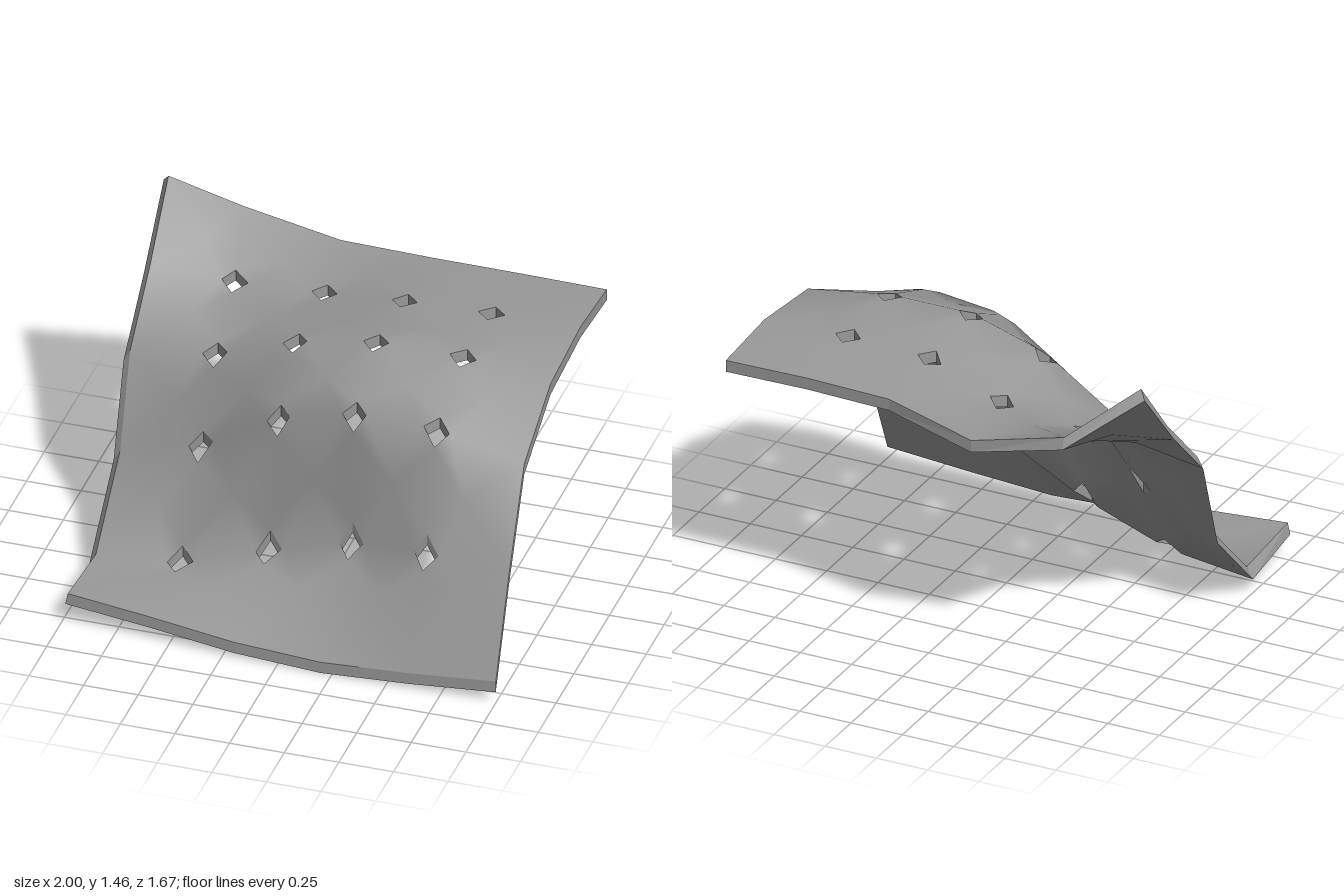
import * as THREE from 'three';

// Upper surface of the sheet: rows run from the back (top) to the front (bottom), columns along x
const ROWS = [
  [[-0.97, 1.455, -0.62], [-0.69, 1.24, -0.81], [-0.25, 1.135, -0.835], [0.2, 1.19, -0.74], [0.6, 1.195, -0.73], [1, 1.19, -0.73]],
  [[-0.97, 1.15, -0.36], [-0.61, 1.09, -0.44], [-0.19, 1.12, -0.43], [0.2, 1.21, -0.34], [0.6, 1.225, -0.34], [1, 1.22, -0.36]],
  [[-0.97, 0.88, -0.08], [-0.57, 0.96, -0.05], [-0.18, 1.15, 0.03], [0.2, 1.245, 0.06], [0.6, 1.245, 0.06], [1, 1.18, 0.06]],
  [[-0.97, 0.45, 0.06], [-0.57, 0.61, 0.15], [-0.17, 0.92, 0.29], [0.21, 1.08, 0.4], [0.6, 1.1, 0.44], [1, 0.99, 0.43]],
  [[-0.97, 0.12, 0.4], [-0.58, 0.16, 0.42], [-0.17, 0.31, 0.42], [0.23, 0.47, 0.48], [0.61, 0.57, 0.62], [1, 0.56, 0.64]],
  [[-0.97, 0.155, 0.795], [-0.6, 0.12, 0.81], [-0.2, 0.077, 0.83], [0.2, 0.055, 0.835], [0.6, 0.078, 0.835], [1, 0.11, 0.83]],
];
const N = 5;            // cells per side
const HOLE = 0.15;      // hole reach along each grid edge
const THICK = 0.055;

export function createModel() {
  const top = [], bottom = [], ids = new Map();

  // The underside hangs below the upper side and leans outward at the left and back-left
  const under = (i, j) => new THREE.Vector3(
    i === 0 ? (j < N ? -0.03 : -0.012) : 0,
    i === 0 && j === 0 ? -0.04 : -THICK,
    j === 0 ? -0.025 * Math.max(0, 1 - i * 0.4) : 0);
  const upper = (i, j) => new THREE.Vector3(...ROWS[j][i]);
  const lower = (i, j) => upper(i, j).add(under(i, j));
  const inner = ([i, j]) => i > 0 && i < N && j > 0 && j < N;

  // Shared point at a grid corner, or part of the way to a neighbour
  function point(c, to = c) {
    const key = `${c}|${to}`;
    if (!ids.has(key)) {
      ids.set(key, top.length);
      top.push(upper(...c).lerp(upper(...to), HOLE));
      bottom.push(lower(...c).lerp(lower(...to), HOLE));
    }
    return ids.get(key);
  }

  // Each cell is a polygon whose inner corners are cut off, leaving diamond holes
  const faces = [], halfEdges = new Map();
  for (let j = 0; j < N; j++) for (let i = 0; i < N; i++) {
    const corners = [[i, j], [i, j + 1], [i + 1, j + 1], [i + 1, j]];
    const loop = [];
    corners.forEach((c, k) => {
      if (inner(c)) loop.push(point(c, corners[(k + 3) % 4]), point(c, corners[(k + 1) % 4]));
      else loop.push(point(c));
    });
    const mid = top.length;
    for (const list of [top, bottom]) {
      const centre = new THREE.Vector3();
      loop.forEach((id) => centre.add(list[id]));
      list.push(centre.divideScalar(loop.length));
    }
    loop.forEach((a, k) => {
      const b = loop[(k + 1) % loop.length];
      faces.push(mid, a, b);
      halfEdges.set(`${a},${b}`, [a, b]);
    });
  }

  // Walls close every open border: the outer rim and the holes
  const rim = [], holes = [];
  const onRim = new Set();
  for (let j = 0; j <= N; j++) for (let i = 0; i <= N; i++) if (!inner([i, j])) onRim.add(point([i, j]));
  for (const [a, b] of halfEdges.values()) {
    if (halfEdges.has(`${b},${a}`)) continue;
    const wall = onRim.has(a) && onRim.has(b) ? rim : holes;
    wall.push(bottom[a], bottom[b], top[b], bottom[a], top[b], top[a]);
  }

  const grey = new THREE.MeshStandardMaterial({ color: 0x9a9a9a });
  grey.name = 'grey';
  const group = new THREE.Group();
  group.name = 'perforatedSheet';
  function add(name, points, index) {
    const geometry = new THREE.BufferGeometry().setFromPoints(points);
    if (index) geometry.setIndex(index);
    geometry.computeVertexNormals();
    const mesh = new THREE.Mesh(geometry, grey);
    mesh.name = name;
    group.add(mesh);
  }
  add('upperSurface', top, faces);
  add('lowerSurface', bottom, faces.slice().reverse());
  add('outerRim', rim);
  add('holeWalls', holes);
  return group;
}
